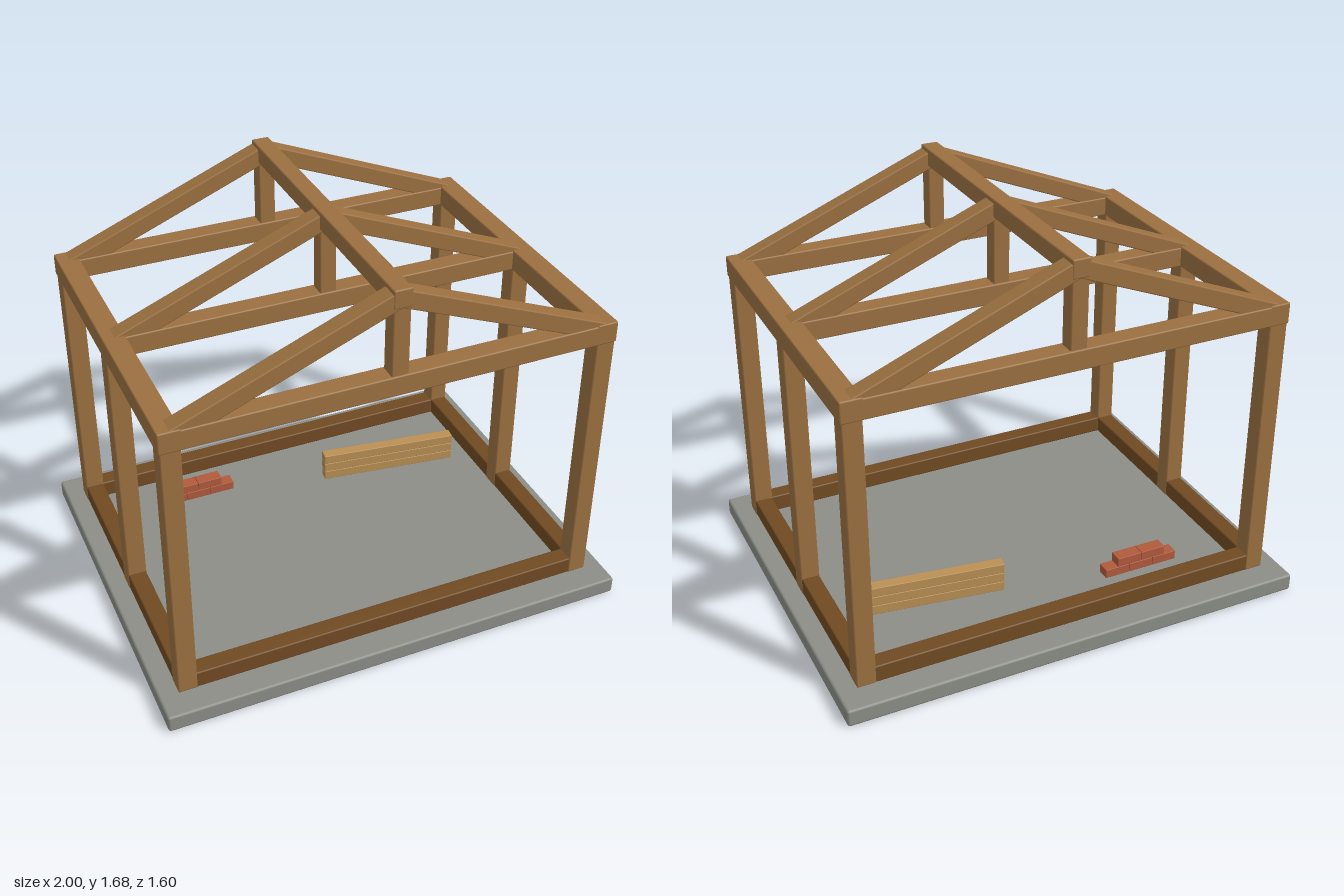
import * as THREE from 'three';
import { RoundedBoxGeometry } from 'three/addons/geometries/RoundedBoxGeometry.js';

const mat = (color) => new THREE.MeshStandardMaterial({ color });

export function createModel() {
  const model = new THREE.Group();
  const wood = mat(0x9b7040), darkWood = mat(0x704a22), concrete = mat(0x8b8d86);
  const brickRed = mat(0xb05a3c), paleWood = mat(0xba9054);

  // Softly bevelled block given by its size and centre
  function block(name, material, size, centre, bevel = 0.006, parent = model) {
    const mesh = new THREE.Mesh(new RoundedBoxGeometry(...size, 1, bevel), material);
    mesh.name = name;
    mesh.position.set(...centre);
    parent.add(mesh);
    return mesh;
  }

  const floor = 0.075, postX = 0.88, frameZ = [-0.65, 0, 0.65];

  block('foundationSlab', concrete, [2, floor, 1.6], [0, floor / 2, 0], 0.01);

  // Sill timbers around the floor
  for (const s of [-1, 1]) {
    block('crossSill', darkWood, [1.76, 0.075, 0.075], [0, floor + 0.0375, s * 0.65]);
    block('sideSill', darkWood, [0.075, 0.075, 1.3], [s * postX, floor + 0.0375, 0]);
    block('wallPlate', wood, [0.09, 0.09, 1.385], [s * postX, 1.275, 0]);
  }

  // Three matching frames: posts, tie beam, king post and rafters
  const foot = new THREE.Vector2(0.88, 1.28), peak = new THREE.Vector2(0, 1.635);
  const run = foot.distanceTo(peak);
  const pitch = Math.atan2(peak.y - foot.y, foot.x - peak.x);
  for (const z of frameZ) {
    const frame = new THREE.Group();
    frame.name = 'frame';
    frame.position.z = z;
    model.add(frame);
    block('tieBeam', wood, [1.755, 0.085, 0.085], [0, 1.273, 0], 0.006, frame);
    block('kingPost', wood, [0.07, 0.3, 0.07], [0, 1.455, 0], 0.006, frame);
    for (const s of [-1, 1]) {
      block('post', wood, [0.08, 1.17, 0.08], [s * postX, floor + 0.585, 0], 0.006, frame);
      const rafter = block('rafter', wood, [run, 0.072, 0.075],
        [s * foot.x / 2, (foot.y + peak.y) / 2, 0], 0.006, frame);
      rafter.rotation.z = -s * pitch;
    }
  }

  block('ridgeBeam', wood, [0.075, 0.077, 1.38], [0, 1.637, 0]);

  // Small brick pile: three below, two above
  const bricks = new THREE.Group();
  bricks.name = 'brickPile';
  bricks.position.set(-0.445, floor, -0.457);
  model.add(bricks);
  [3, 2].forEach((count, row) => {
    for (let i = 0; i < count; i++) {
      block('brick', brickRed, [0.112, 0.04, 0.056],
        [(i - (count - 1) / 2) * 0.1135, 0.02 + row * 0.0415, 0], 0.002, bricks);
    }
  });

  // Stack of spare planks lying askew
  const planks = new THREE.Group();
  planks.name = 'plankStack';
  planks.position.set(0.453, floor, -0.305);
  planks.rotation.y = -0.136;
  model.add(planks);
  for (let i = 0; i < 3; i++) {
    block('plank', paleWood, [0.625, 0.043, 0.05], [0, 0.0215 + i * 0.0435, 0], 0.003, planks);
  }

  return model;
}
